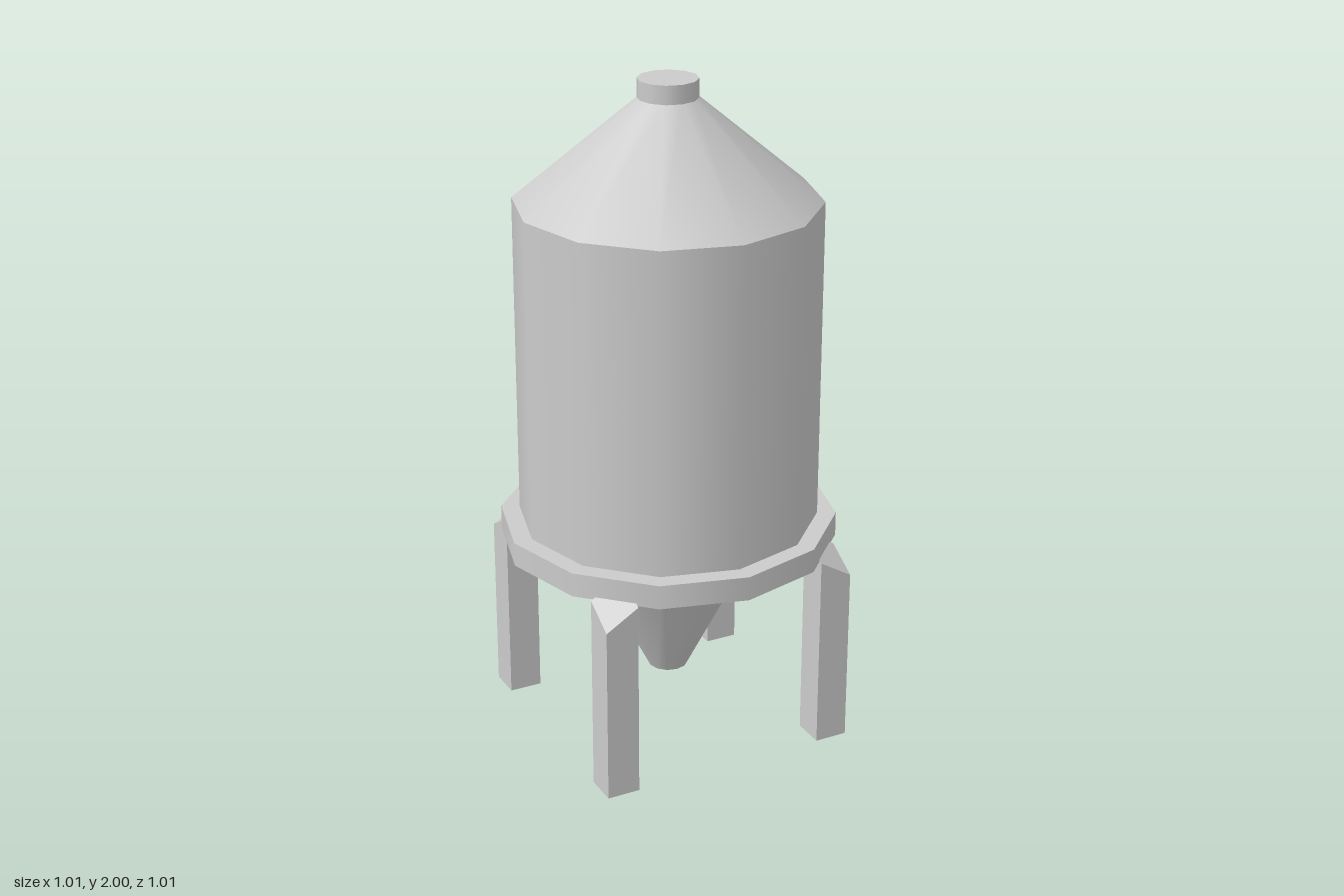
import * as THREE from 'three';

const material = new THREE.MeshStandardMaterial({ color: 0xcccccc });
const SIDES = 12;

// Twelve-sided drum or cone between two heights
function drum(name, rBottom, rTop, y0, y1) {
  const geometry = new THREE.CylinderGeometry(rTop, rBottom, y1 - y0, SIDES);
  geometry.translate(0, (y0 + y1) / 2, 0);
  const mesh = new THREE.Mesh(geometry, material);
  mesh.name = name;
  return mesh;
}

// Square leg whose top slopes down towards its outer corner
function leg(name, sx, sz) {
  const geometry = new THREE.BoxGeometry(0.1, 0.6, 0.1);
  geometry.translate(sx * 0.35, 0.3, sz * 0.35);
  const p = geometry.attributes.position;
  for (let i = 0; i < p.count; i++) {
    if (p.getY(i) < 0.3) continue;
    const outward = Math.abs(p.getX(i)) + Math.abs(p.getZ(i)) - 0.7;
    p.setY(i, 0.6 - outward * 0.6);
  }
  // Split the top along the diagonal that keeps its plane
  geometry.computeVertexNormals();
  const mesh = new THREE.Mesh(geometry, material);
  mesh.name = name;
  return mesh;
}

export function createModel() {
  const group = new THREE.Group();
  group.name = 'silo';

  // Storage body, stacked from the outlet upwards
  group.add(
    drum('hopper', 0.06, 0.29, 0.155, 0.605),
    drum('supportRing', 0.503, 0.503, 0.6, 0.673),
    drum('tank', 0.447, 0.447, 0.67, 1.645),
    drum('roof', 0.447, 0.088, 1.645, 1.945),
    drum('cap', 0.088, 0.088, 1.94, 2)
  );

  // Four legs under the ring
  for (const [sx, side] of [[1, 'Left'], [-1, 'Right']]) {
    for (const [sz, end] of [[1, 'front'], [-1, 'back']]) {
      group.add(leg(`${end}${side}Leg`, sx, sz));
    }
  }
  return group;
}
